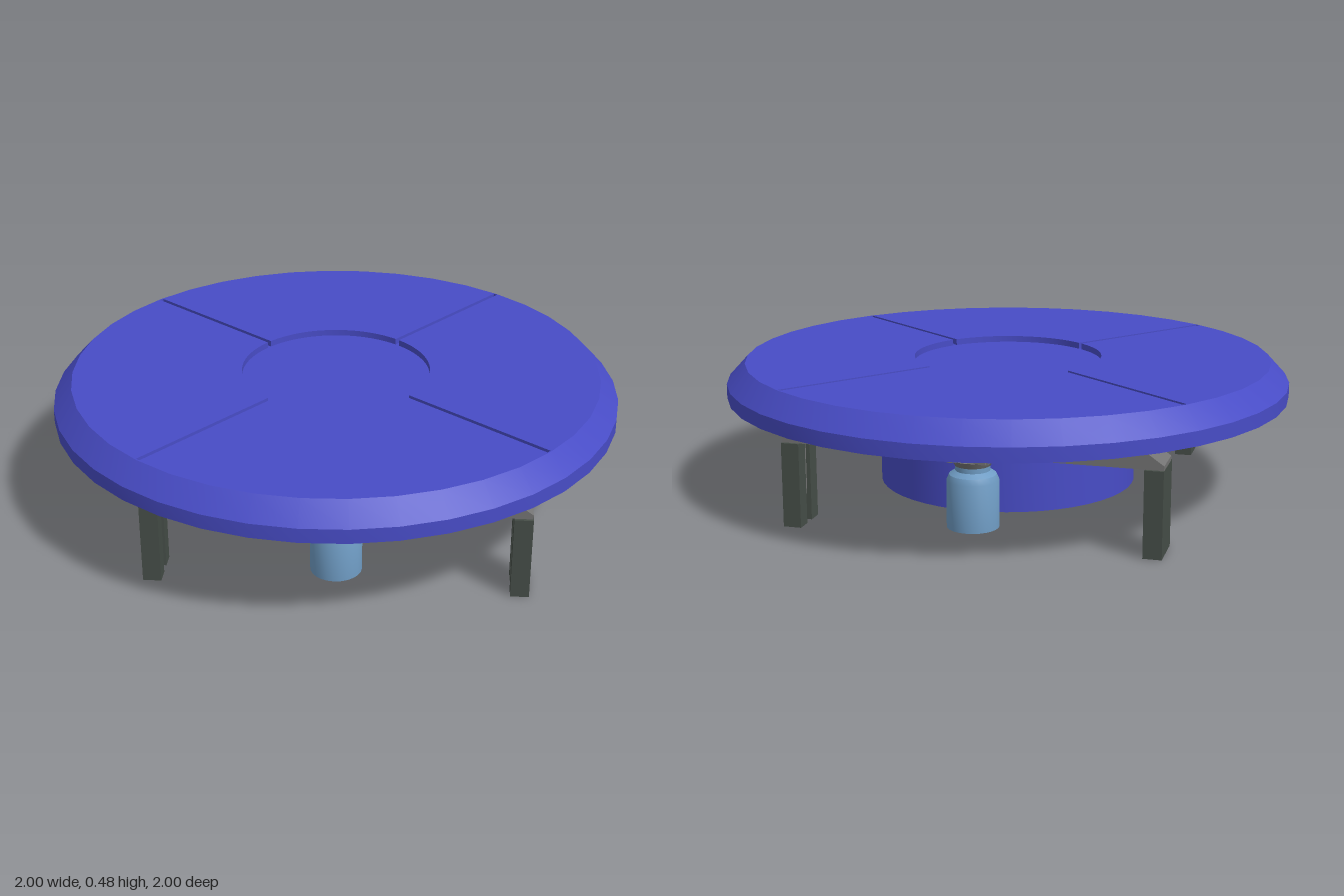
import * as THREE from 'three';
import { toCreasedNormals } from 'three/addons/utils/BufferGeometryUtils.js';

const material = (name, color) => {
  const m = new THREE.MeshStandardMaterial({ color });
  m.name = name;
  return m;
};

export function createModel() {
  const blue = material('deck blue', 0x484cc6);
  const steel = material('steel grey', 0x747474);
  const dark = material('dark foot grey', 0x464e48);
  const motorBlue = material('motor blue', 0x6f9cc4);

  const model = new THREE.Group();
  model.name = 'turntable';

  const add = (parent, name, geometry, mat, x = 0, y = 0, z = 0) => {
    const mesh = new THREE.Mesh(geometry, mat);
    mesh.name = name;
    mesh.position.set(x, y, z);
    parent.add(mesh);
    return mesh;
  };
  // Round part from a profile listed bottom to top along its outside
  const turned = (points, sides) => toCreasedNormals(
    new THREE.LatheGeometry(points.map(([r, y]) => new THREE.Vector2(r, y)), sides), 0.5);
  const tube = (inner, outer, y0, y1, sides) => turned(
    [[inner, y0], [outer, y0], [outer, y1], [inner, y1], [inner, y0]], sides);
  const box = (w, h, d) => new THREE.BoxGeometry(w, h, d);
  // Plan shape pushed upwards
  const upright = (shape, height, curveSegments = 12) => {
    const g = new THREE.ExtrudeGeometry(shape, { depth: height, bevelEnabled: false, curveSegments });
    g.rotateX(-Math.PI / 2);
    return g;
  };

  // Deck: body with bevelled rim, floor sunk under the top panels
  add(model, 'deck', turned([
    [0, 0.36], [1, 0.36], [1, 0.41], [0.935, 0.48], [0.93, 0.48], [0.93, 0.458], [0, 0.458],
  ], 40), blue);

  // Four top panels, leaving cross grooves and a round centre recess
  const R = 0.932, r = 0.335, gap = 0.008;
  const outer = Math.asin(gap / R), inner = Math.asin(gap / r);
  const panel = new THREE.Shape();
  panel.absarc(0, 0, R, outer, Math.PI / 2 - outer, false);
  panel.absarc(0, 0, r, Math.PI / 2 - inner, inner, true);
  panel.closePath();
  const panelGeometry = toCreasedNormals(upright(panel, 0.023, 14), 0.5);
  for (let i = 0; i < 4; i++) {
    add(model, 'topPanel', panelGeometry, blue, 0, 0.457, 0).rotation.y = i * Math.PI / 2;
  }

  // Underside: rail ring, open drum, hub, shaft and posts
  add(model, 'railRing', tube(0.7, 0.91, 0.348, 0.361, 48), steel);
  add(model, 'drum', tube(0.43, 0.46, 0.033, 0.361, 48), blue);
  add(model, 'hub', tube(0.065, 0.092, 0.18, 0.361, 24), steel);
  add(model, 'shaft', new THREE.CylinderGeometry(0.02, 0.02, 0.33, 16), blue, 0, 0.196, 0);
  for (const z of [0.24, -0.24]) {
    add(model, 'post', new THREE.CylinderGeometry(0.026, 0.026, 0.34, 12), dark, 0, 0.191, z);
  }
  const plate = add(model, 'drumPlate', box(0.08, 0.15, 0.008), motorBlue, 0.065, 0.18, 0.42);
  plate.rotation.y = 0.155;

  // Shared support shapes; local x runs along the beam
  const beamShape = new THREE.Shape([
    [-0.64, 0.29], [0.64, 0.29], [0.64, 0.305], [0.575, 0.35], [-0.575, 0.35], [-0.64, 0.305],
  ].map(([x, y]) => new THREE.Vector2(x, y)));
  const beamGeometry = new THREE.ExtrudeGeometry(beamShape, { depth: 0.13, bevelEnabled: false });
  beamGeometry.translate(0, 0, -0.065);

  const footShape = new THREE.Shape([
    [-0.031, -0.075], [0.031, -0.075], [0.031, 0.075], [-0.031, 0.075],
    [-0.031, 0.02], [0.005, 0.02], [0.005, -0.02], [-0.031, -0.02],
  ].map(([x, y]) => new THREE.Vector2(x, y)));
  const footGeometry = upright(footShape, 0.29);

  const motorGeometry = turned([
    [0, 0.035], [0.087, 0.035], [0.087, 0.195], [0.078, 0.215], [0.058, 0.228],
    [0.058, 0.25], [0, 0.25],
  ], 24);

  const buildSupport = () => {
    const g = new THREE.Group();
    g.name = 'support';
    add(g, 'beam', beamGeometry, steel);
    for (const side of [1, -1]) {
      const leg = new THREE.Group();
      leg.name = 'leg';
      leg.position.x = side * 0.61;
      leg.rotation.y = side > 0 ? 0 : Math.PI;
      add(leg, 'foot', footGeometry, dark);
      add(leg, 'slotStrut', box(0.025, 0.2, 0.024), steel, -0.008, 0.195, 0);
      g.add(leg);
    }
    // Drive motor hanging under the beam
    add(g, 'motor', motorGeometry, motorBlue);
    add(g, 'motorCollar', new THREE.CylinderGeometry(0.07, 0.06, 0.02, 20), steel, 0, 0.255, 0);
    add(g, 'motorBracket', box(0.14, 0.022, 0.12), steel, 0, 0.274, 0);
    for (const x of [-0.05, 0.05]) {
      add(g, 'bracketTab', box(0.025, 0.06, 0.14), steel, x, 0.295, 0);
    }
    return g;
  };

  // Two supports, each opposite the other
  for (const side of [1, -1]) {
    const support = buildSupport();
    support.position.set(side * 0.42, 0, side * 0.455);
    support.rotation.y = 0.663 + (side > 0 ? 0 : Math.PI);
    model.add(support);
  }
  return model;
}
